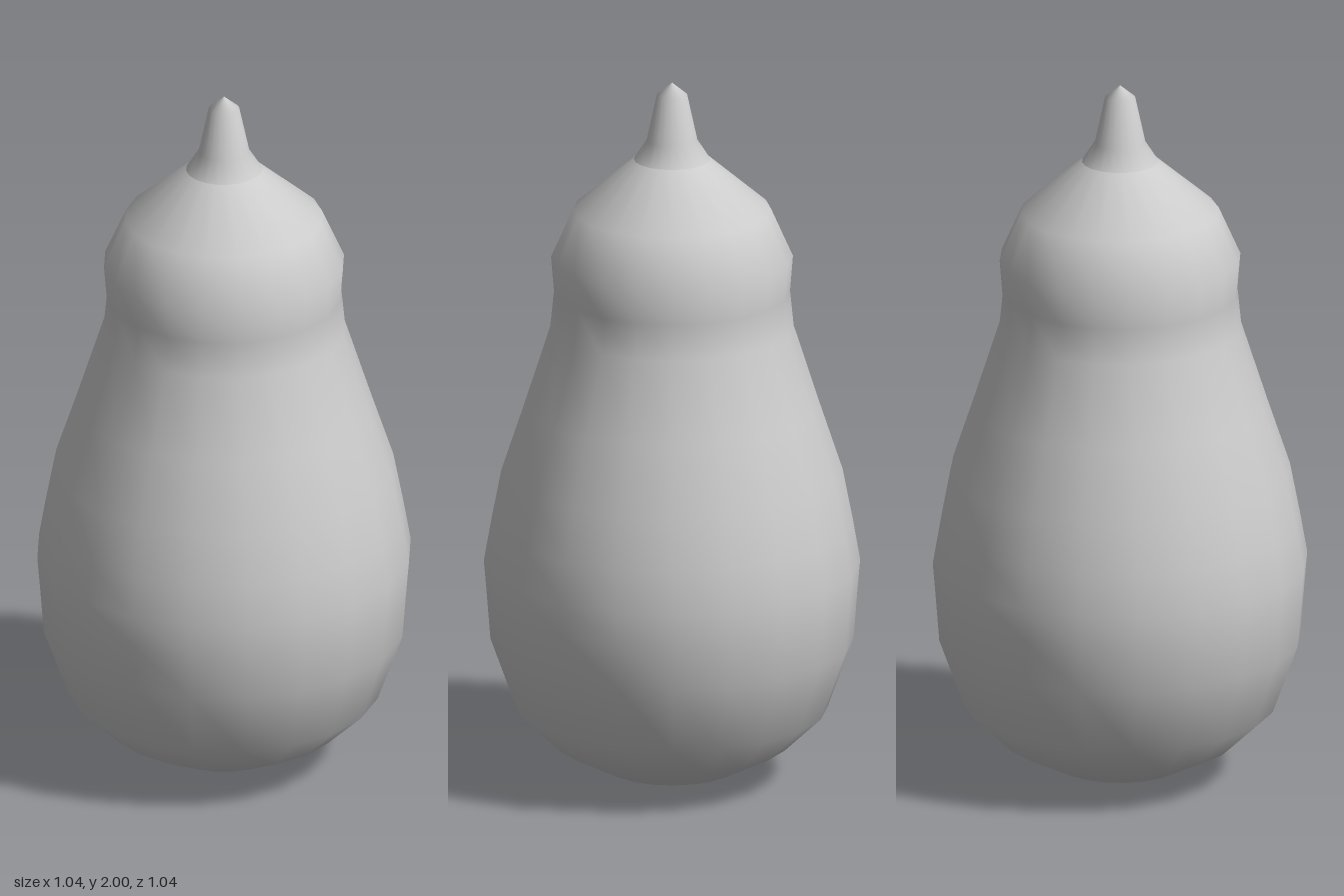
import * as THREE from 'three';

const SIDES = 20;

// Revolve a [radius, height] profile, listed from bottom to top
function turned(name, profile, material) {
  const points = profile.map(([r, y]) => new THREE.Vector2(r, y));
  const mesh = new THREE.Mesh(new THREE.LatheGeometry(points, SIDES), material);
  mesh.name = name;
  return mesh;
}

export function createModel() {
  const group = new THREE.Group();
  group.name = 'gourd';
  const material = new THREE.MeshStandardMaterial({ color: 0xcccccc });

  // Round belly, tapering to a slight neck and a rounded head
  group.add(turned('body', [
    [0, 0], [0.18, 0.03], [0.325, 0.105], [0.43, 0.205], [0.5, 0.4],
    [0.51, 0.53], [0.518, 0.625], [0.498, 0.74], [0.47, 0.885],
    [0.407, 1.075], [0.335, 1.3], [0.325, 1.4], [0.333, 1.5],
    [0.273, 1.635], [0.105, 1.78],
  ], material));

  // Flared stem with a blunt tip
  group.add(turned('stem', [
    [0.105, 1.78], [0.07, 1.835], [0.042, 1.965], [0, 2],
  ], material));

  return group;
}
